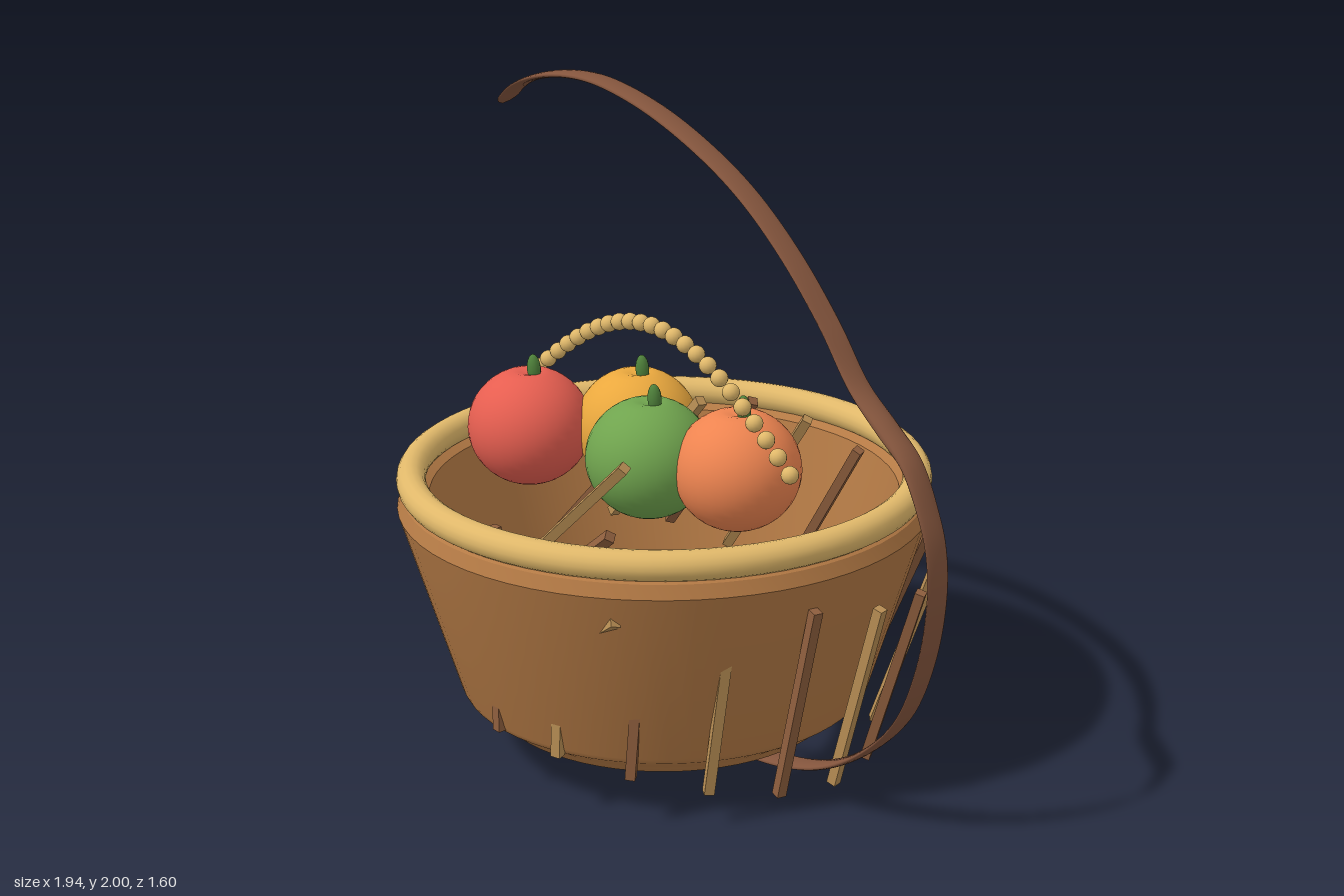
import * as THREE from 'three';
import { toCreasedNormals } from 'three/addons/utils/BufferGeometryUtils.js';
import { ParametricGeometry } from 'three/addons/geometries/ParametricGeometry.js';

const mat = (color) => new THREE.MeshStandardMaterial({ color });
const wood = mat(0xb47a45), straw = mat(0xe0b86a), bark = mat(0x84553d);
const slatDark = mat(0x8f5f3e), slatLight = mat(0xb88e54), stemGreen = mat(0x4e803a);

function add(parent, name, geometry, material, x = 0, y = 0, z = 0) {
  const mesh = new THREE.Mesh(geometry, material);
  mesh.name = name;
  mesh.position.set(x, y, z);
  parent.add(mesh);
  return mesh;
}

// Open-bottomed bowl: outer wall up, over the lip, inner wall down
function bowlGeometry() {
  const profile = [
    [0.44, 0.125], [0.455, 0.1], [0.5, 0.096], [0.53, 0.11], [0.548, 0.13], [0.56, 0.142],
    [0.622, 0.182], [0.63, 0.198], [0.801, 0.765], [0.785, 0.805], [0.75, 0.83], [0.705, 0.8],
    [0.61, 0.4], [0.567, 0.19], [0.44, 0.145], [0.44, 0.125],
  ].map(([r, y]) => new THREE.Vector2(r, y));
  return toCreasedNormals(new THREE.LatheGeometry(profile, 64), 0.55);
}

// Flat curling handle: x, y and half thickness along the path
function handleGeometry() {
  const path = new THREE.CatmullRomCurve3([
    [-0.937, 1.84, 0.004], [-0.85, 1.912, 0.007], [-0.7, 1.967, 0.01], [-0.49, 1.989, 0.012],
    [-0.25, 1.952, 0.012], [0, 1.865, 0.011], [0.2, 1.76, 0.009], [0.38, 1.62, 0.006],
    [0.535, 1.46, 0.003], [0.65, 1.315, 0.011], [0.765, 1.222, 0.021], [0.855, 1.148, 0.015],
    [0.925, 1.02, 0.008], [0.955, 0.93, 0.005], [0.965, 0.8, 0.004], [0.935, 0.6, 0.004],
    [0.855, 0.4, 0.006], [0.72, 0.25, 0.009], [0.55, 0.14, 0.011], [0.35, 0.08, 0.012],
    [0.1, 0.065, 0.011], [-0.1, 0.085, 0.008], [-0.22, 0.105, 0.004],
  ].map((p) => new THREE.Vector3(...p)));
  return new ParametricGeometry((u, v, target) => {
    const t = THREE.MathUtils.clamp(u, 0, 1);
    const p = path.getPoint(t), d = path.getTangent(t);
    const len = Math.hypot(d.x, d.y), a = v * Math.PI * 2;
    const end = Math.sqrt(Math.min(1, Math.min(t, 1 - t) * 60));
    const off = p.z * Math.cos(a) * end;
    target.set(p.x + (d.y / len) * off, p.y - (d.x / len) * off, 0.04 * Math.sin(a) * end);
  }, 160, 16);
}

// Round fruit, dimpled at the top, with a short leaning stem
function makeFruit(name, color, x, z) {
  const fruit = new THREE.Group();
  fruit.name = name;
  fruit.position.set(x, 0.935, z);
  const skin = new THREE.SphereGeometry(0.189, 32, 24);
  const pos = skin.attributes.position;
  for (let i = 0; i < pos.count; i++) {
    const r = Math.hypot(pos.getX(i), pos.getZ(i));
    const dip = pos.getY(i) > 0 ? 0.02 * Math.exp(-((r / 0.03) ** 2)) : 0;
    pos.setY(i, pos.getY(i) * 0.96 - dip);
  }
  skin.computeVertexNormals();
  add(fruit, 'fruitSkin', skin, mat(color));
  const stem = new THREE.SphereGeometry(0.021, 12, 10);
  stem.scale(1, 2.1, 1);
  add(fruit, 'fruitStem', stem, stemGreen, 0.027, 0.188, 0).rotation.z = 0.1;
  return fruit;
}

export function createModel() {
  const model = new THREE.Group();
  model.name = 'fruitBasket';
  const basket = new THREE.Group();
  basket.name = 'basket';
  basket.position.x = -0.17;
  model.add(basket);

  add(basket, 'bowl', bowlGeometry(), wood);
  const rim = new THREE.TorusGeometry(0.757, 0.044, 16, 72);
  rim.rotateX(Math.PI / 2);
  add(basket, 'rim', rim, straw, 0, 0.85, 0);

  // Ring of slats facing outward, each leaning further around the basket's middle than the last
  const slatBox = new THREE.BoxGeometry(0.03, 0.64, 0.03);
  for (let i = 0; i < 18; i++) {
    const angle = (i * Math.PI) / 9;
    const pivot = new THREE.Group();
    pivot.name = 'slatPivot';
    pivot.position.y = 0.065;
    pivot.rotation.z = -0.16 * angle;
    basket.add(pivot);
    add(pivot, 'slat', slatBox, i % 2 ? slatLight : slatDark,
      0.636 * Math.sin(angle), 0.446, 0.636 * Math.cos(angle)).rotation.y = angle;
  }

  // Arched string of beads
  const bead = new THREE.SphereGeometry(0.026, 14, 10);
  for (let i = 0; i < 25; i++) {
    const t = i / 24;
    add(model, 'bead', bead, straw, -0.772 + 1.2 * t, 1.01 + 0.3 * Math.sin(Math.PI * t), 0.045);
  }

  add(model, 'handle', handleGeometry(), bark);

  model.add(
    makeFruit('redFruit', 0xe65e50, -0.563, 0.205),
    makeFruit('yellowFruit', 0xeaa83e, -0.343, -0.038),
    makeFruit('greenFruit', 0x70a44e, -0.104, 0.115),
    makeFruit('orangeFruit', 0xee8450, 0.143, -0.013),
  );
  return model;
}
